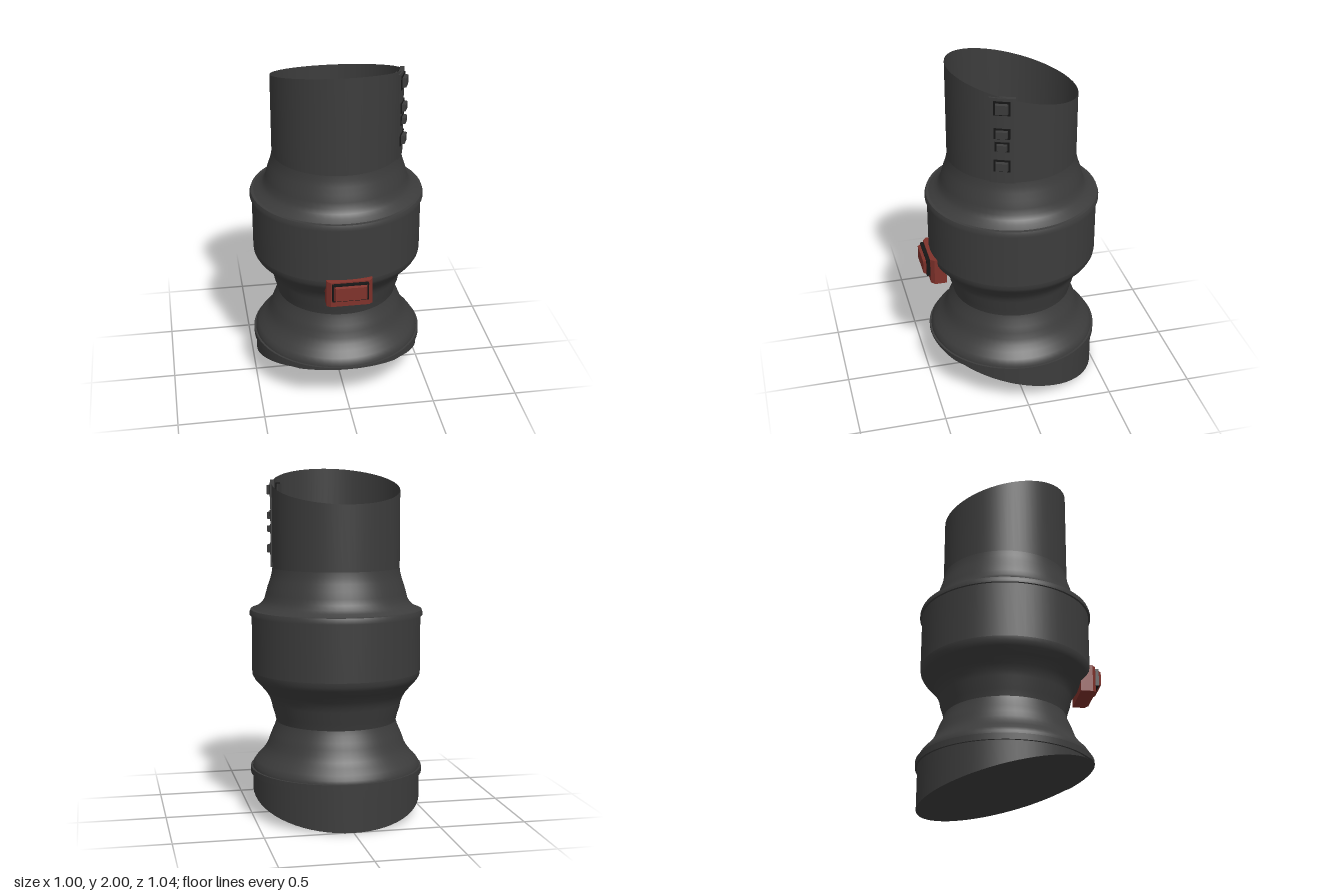
import * as THREE from 'three';

const AXIS_Z = -0.02;
const SIDES = 64;

// Slanted cutting planes that trim the body at both ends
const lowCut = z => 0.003 + (z + 0.51) * 0.269;
const highCut = z => 1.81 + (z + 0.387) * 0.259;

function trim(geometry) {
  geometry.translate(0, 0, AXIS_Z);
  const p = geometry.attributes.position;
  for (let i = 0; i < p.count; i++) {
    const z = p.getZ(i);
    p.setY(i, Math.min(Math.max(p.getY(i), lowCut(z)), highCut(z)));
  }
  return geometry;
}

// Box whose front (+z) face is scaled to make a bevelled block
function taperedBox(w, h, d, sx, sy) {
  const g = new THREE.BoxGeometry(w, h, d);
  const p = g.attributes.position;
  for (let i = 0; i < p.count; i++) {
    if (p.getZ(i) > 0) p.setXY(i, p.getX(i) * sx, p.getY(i) * sy);
  }
  g.computeVertexNormals();
  return g;
}

export function createModel() {
  const model = new THREE.Group();
  const shell = new THREE.MeshStandardMaterial({ color: 0x3c3c3c, side: THREE.DoubleSide });
  shell.name = 'charcoal';
  const black = new THREE.MeshStandardMaterial({ color: 0x161616 });
  black.name = 'black';
  const red = new THREE.MeshStandardMaterial({ color: 0x80322b });
  red.name = 'dull red';

  const add = (parent, name, geometry, material, x = 0, y = 0, z = 0) => {
    const mesh = new THREE.Mesh(geometry, material);
    mesh.name = name;
    mesh.position.set(x, y, z);
    parent.add(mesh);
    return mesh;
  };

  // Thin-walled body: one turned section per smooth run, bottom to top [radius, y]
  const sections = {
    skirt: [[0.488, 0], [0.488, 0.25]],
    lowerFlangeUnder: [[0.488, 0.245], [0.5, 0.245]],
    lowerFlangeEdge: [[0.5, 0.245], [0.5, 0.28]],
    lowerFlangeTop: [[0.5, 0.28], [0.488, 0.28]],
    lowerFlare: [[0.488, 0.28], [0.486, 0.3], [0.47, 0.325], [0.44, 0.355], [0.417, 0.385],
      [0.4, 0.415], [0.388, 0.45], [0.374, 0.485], [0.358, 0.52], [0.349, 0.55]],
    waist: [[0.349, 0.55], [0.358, 0.59], [0.37, 0.625], [0.377, 0.66], [0.388, 0.69],
      [0.405, 0.72], [0.44, 0.762], [0.472, 0.797], [0.485, 0.82], [0.488, 0.845]],
    drum: [[0.488, 0.845], [0.488, 1.17]],
    upperFlangeUnder: [[0.488, 1.17], [0.5, 1.17]],
    upperFlangeEdge: [[0.5, 1.17], [0.5, 1.185], [0.494, 1.202]],
    upperFlangeTop: [[0.494, 1.202], [0.478, 1.204]],
    shoulder: [[0.478, 1.204], [0.452, 1.22], [0.43, 1.238], [0.414, 1.262], [0.405, 1.295],
      [0.394, 1.335], [0.38, 1.375], [0.371, 1.41], [0.367, 1.44]],
    neckTube: [[0.367, 1.44], [0.367, 2.1]],
  };
  for (const [name, points] of Object.entries(sections)) {
    const profile = points.map(([r, y]) => new THREE.Vector2(r, y));
    add(model, name, trim(new THREE.LatheGeometry(profile, SIDES)), shell);
  }

  // Slanted floor closing the skirt
  const floor = trim(new THREE.CircleGeometry(0.488, SIDES).rotateX(Math.PI / 2));
  floor.computeVertexNormals();
  add(model, 'slantedFloor', floor, shell);

  // Curved control strip let into the neck wall
  const angle = 0.385, half = 0.195;
  const arc = new THREE.Shape();
  arc.absarc(0, 0, 0.376, -angle - half, -angle + half, false);
  arc.absarc(0, 0, 0.352, -angle + half, -angle - half, true);
  arc.closePath();
  const strip = new THREE.ExtrudeGeometry(arc, { depth: 0.5, bevelEnabled: false, curveSegments: 6 });
  strip.rotateX(-Math.PI / 2);
  add(model, 'controlStrip', strip, shell, 0, 1.44, AXIS_Z);

  // Buttons on the strip, passing through to the inside [y, width, height, front height scale]
  const buttons = new THREE.Group();
  buttons.name = 'stripButtons';
  buttons.position.z = AXIS_Z;
  buttons.rotation.y = Math.PI / 2 - angle;
  for (const [y, w, h] of [[1.882, 0.084, 0.07], [1.735, 0.08, 0.052], [1.658, 0.07, 0.046], [1.545, 0.084, 0.06]]) {
    add(buttons, 'buttonSocket', new THREE.BoxGeometry(w + 0.008, h + 0.01, 0.04), black, 0, y, 0.359);
    add(buttons, 'button', taperedBox(w, h, 0.07, 0.75, 0.75), shell, 0, y, 0.364);
  }
  model.add(buttons);

  // Front switch: housing, dark collar and push cap
  const frontSwitch = new THREE.Group();
  frontSwitch.name = 'frontSwitch';
  add(frontSwitch, 'switchHousing', new THREE.BoxGeometry(0.26, 0.16, 0.07), red, 0, 0.78, 0.433);
  add(frontSwitch, 'housingBevel', taperedBox(0.26, 0.16, 0.02, 0.84, 0.96), red, 0, 0.78, 0.478);
  add(frontSwitch, 'switchCollar', new THREE.BoxGeometry(0.206, 0.104, 0.024), black, 0, 0.798, 0.497);
  add(frontSwitch, 'switchCap', taperedBox(0.19, 0.09, 0.018, 0.9, 0.88), red, 0, 0.798, 0.516);
  model.add(frontSwitch);

  return model;
}
